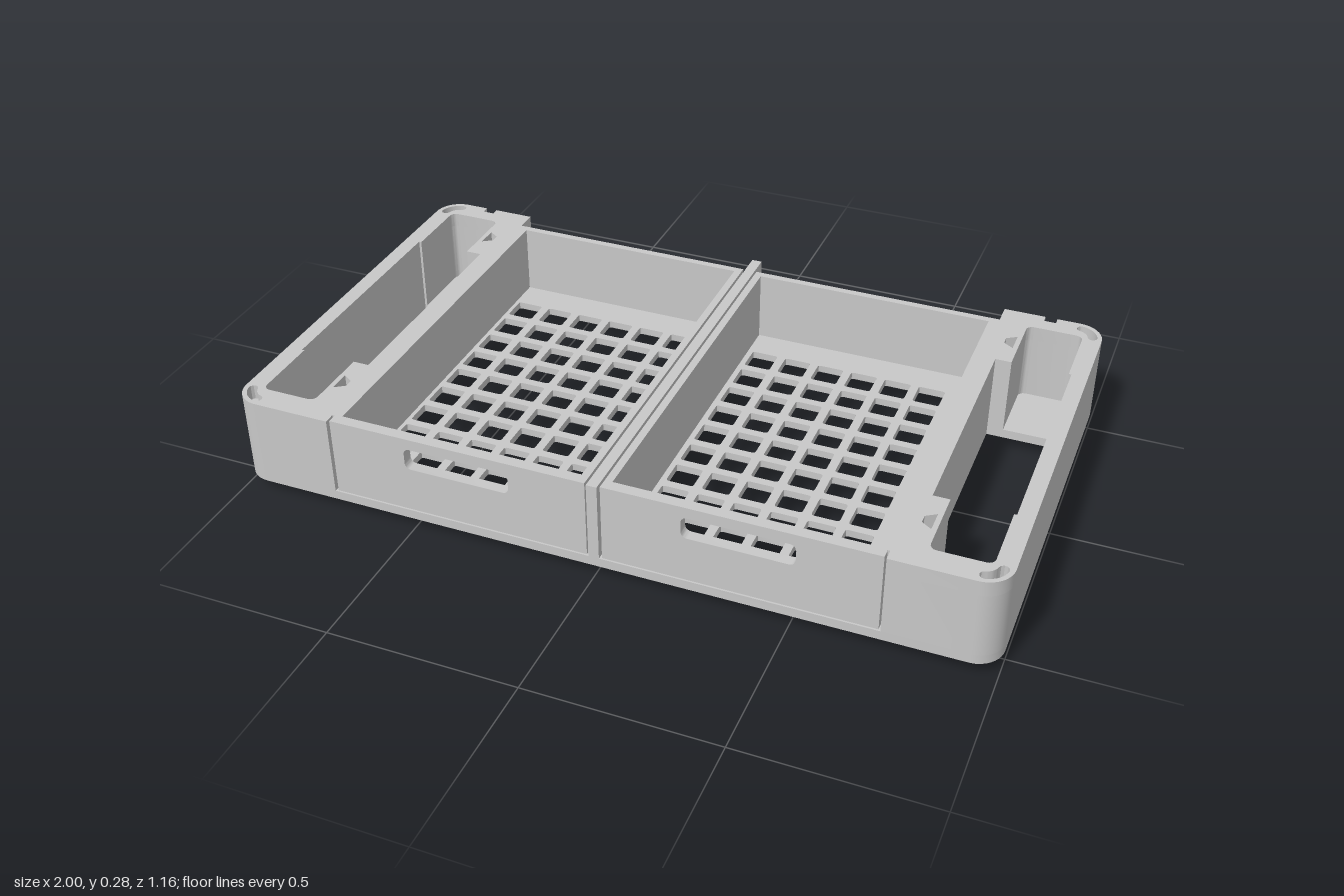
import * as THREE from 'three';
import { toCreasedNormals } from 'three/addons/utils/BufferGeometryUtils.js';

const BASE = 0.035, DECK = 0.06, TOP = 0.275, X = 1, Z = 0.58, R = 0.07;

export function createModel() {
  const model = new THREE.Group();
  model.name = 'stackingTray';
  const grey = new THREE.MeshStandardMaterial({ color: 0xc8c8c8 });
  grey.name = 'grey plastic';

  const add = (name, geometry) => {
    const mesh = new THREE.Mesh(geometry, grey);
    mesh.name = name;
    model.add(mesh);
    return mesh;
  };
  const box = (name, x0, x1, y0, y1, z0, z1) => {
    const mesh = add(name, new THREE.BoxGeometry(x1 - x0, y1 - y0, z1 - z0));
    mesh.position.set((x0 + x1) / 2, (y0 + y1) / 2, (z0 + z1) / 2);
  };
  // Extruded outline with holes; every loop is turned anticlockwise first
  const ccw = (pts) => (THREE.ShapeUtils.isClockWise(pts) ? [...pts].reverse() : pts);
  const extrude = (outline, holes, depth) => {
    const shape = new THREE.Shape(ccw(outline));
    shape.holes = holes.map((h) => new THREE.Path(ccw(h)));
    return toCreasedNormals(new THREE.ExtrudeGeometry(shape, { depth, bevelEnabled: false }), 0.5);
  };
  // Slab from a plan drawn in x and z
  const slab = (name, outline, holes, y0, y1) => {
    add(name, extrude(outline, holes, y1 - y0).rotateX(Math.PI / 2)).position.y = y1;
  };

  const v = (x, y) => new THREE.Vector2(x, y);
  const arc = (cx, cy, r, a0, a1, n = 10) => Array.from({ length: n + 1 }, (_, i) => {
    const a = a0 + (a1 - a0) * i / n;
    return v(cx + r * Math.cos(a), cy + r * Math.sin(a));
  });
  const rect = (x0, x1, y0, y1) => [v(x0, y0), v(x1, y0), v(x1, y1), v(x0, y1)];
  const H = Math.PI / 2;
  const roundRect = (x0, x1, y0, y1, r, n = 3) => [
    ...arc(x1 - r, y1 - r, r, 0, H, n), ...arc(x0 + r, y1 - r, r, H, 2 * H, n),
    ...arc(x0 + r, y0 + r, r, 2 * H, 3 * H, n), ...arc(x1 - r, y0 + r, r, 3 * H, 4 * H, n)];
  const flip = (pts, sx, sz = 1) => pts.map((p) => v(p.x * sx, p.y * sz));

  // Curved band used for the corner feet and their sockets
  const band = (w) => {
    const c = [X - R, Z - R], r = 0.045, a0 = 0.2, a1 = H - 0.2;
    const end = (a, start) => arc(c[0] + r * Math.cos(a), c[1] + r * Math.sin(a), w, start, start + Math.PI, 5);
    return [...arc(...c, r + w, a0, a1, 8), ...end(a1, a1).slice(1, -1),
      ...arc(...c, r - w, a1, a0, 8), ...end(a0, a0 + Math.PI).slice(1, -1)];
  };

  // Base plate, open under both trays and both end pockets
  const openings = [];
  for (const s of [-1, 1]) {
    openings.push(flip(rect(0.757, 0.957, -0.32, 0.315), s));
    openings.push(flip(rect(0.035, 0.705, -0.49, 0.46), s));
  }
  slab('basePlate', roundRect(-X, X, -Z, Z, R, 10), openings, BASE, DECK);

  // End frames: plain lower part, then a rim with sockets and notches
  const q = 0.018;
  const pocket = [
    v(0.8, -0.32), ...arc(0.8 + q, -0.515 + q, q, 2 * H, 3 * H, 4), ...arc(0.95 - q, -0.515 + q, q, 3 * H, 4 * H, 4),
    v(0.95, -0.32), v(0.957, -0.32), v(0.957, 0.315), v(0.95, 0.315),
    ...arc(0.95 - q, 0.51 - q, q, 0, H, 4), ...arc(0.8 + q, 0.51 - q, q, H, 2 * H, 4),
    v(0.8, 0.315), v(0.757, 0.315), v(0.757, -0.32)];
  const endOutline = (notch) => [
    v(0.722, -Z),
    ...(notch ? [v(0.835, -Z), v(0.835, -0.558), v(0.868, -0.558), v(0.868, -Z)] : []),
    ...arc(X - R, -Z + R, R, -H, 0), ...arc(X - R, Z - R, R, 0, H),
    v(0.722, Z), v(0.722, 0.55), v(0.716, 0.55), v(0.716, -0.52), v(0.722, -0.52)];
  const dovetail = (z) => [v(0.76, z - 0.012), v(0.787, z - 0.03), v(0.787, z + 0.03), v(0.76, z + 0.012)];
  for (const s of [-1, 1]) {
    const side = s > 0 ? 'left' : 'right';
    slab(side + 'EndFrame', flip(endOutline(false), s), [flip(pocket, s)], DECK, 0.235);
    const cuts = [pocket, band(0.013), flip(band(0.013), 1, -1), dovetail(-0.42), dovetail(0.41)];
    slab(side + 'EndRim', flip(endOutline(true), s), cuts.map((c) => flip(c, s)), 0.235, TOP);

    // Corner feet
    for (const t of [-1, 1]) slab(side + 'CornerFoot', flip(band(0.011), s, t), [], 0.022, BASE);

    // Hanging clip below the back edge
    const clip = [v(-0.012, 0.036), v(-0.012, 0.03), v(-0.023, 0.012), v(-0.023, 0),
      v(0.023, 0), v(0.023, 0.012), v(0.012, 0.03), v(0.012, 0.036)];
    add(side + 'BackClip', extrude(clip, [], 0.022)).position.set(s * 0.846, 0, -Z);
  }

  // Central divider from front to back, with shallow seams beside it
  box('centreDivider', -0.014, 0.014, DECK, TOP, -Z, Z);
  box('dividerSeam', -0.02, 0.02, DECK, TOP - 0.015, -0.52, 0.55);

  // Two trays with pierced floors and a hand slot in the front wall
  for (const s of [-1, 1]) {
    const a = 0.02, b = 0.716, z0 = -0.52, z1 = 0.575, zIn = 0.545, t = 0.02;
    const x0 = s > 0 ? a : -b, x1 = s > 0 ? b : -a;
    const holes = [];
    const startX = s > 0 ? 0.055 : -0.685;
    for (let i = 0; i < 6; i++) {
      for (let j = 0; j < 10; j++) {
        const x = startX + i * 0.0975, z = -0.409 + j * 0.0975;
        holes.push(roundRect(x, x + 0.074, z, z + 0.074, 0.006, 2));
      }
    }
    slab('trayFloor', rect(x0, x1, z0, z1), holes, DECK, 0.08);
    box('trayBackWall', x0, x1, 0.08, TOP, z0, z0 + t);
    box('traySideWall', x0, x0 + t, 0.08, TOP, z0 + t, zIn);
    box('traySideWall', x1 - t, x1, 0.08, TOP, z0 + t, zIn);
    const slot = flip(roundRect(0.225, 0.51, 0.185, 0.245, 0.016, 5), s);
    add('trayFrontWall', extrude(rect(x0, x1, 0.08, TOP), [slot], z1 - zIn)).position.z = zIn;
  }
  return model;
}
